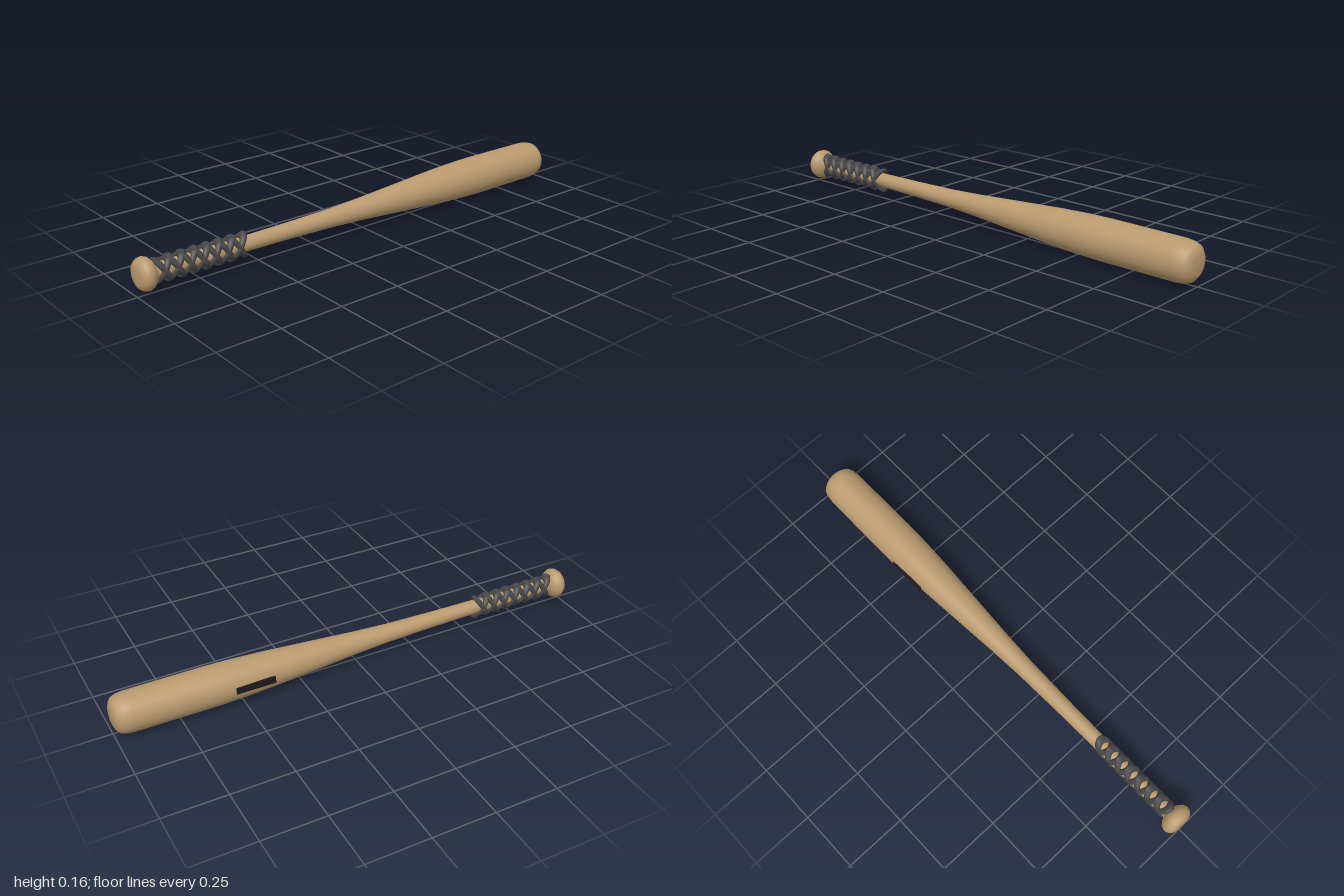
import * as THREE from 'three';

const AXIS_Y = 0.08; // height of the bat's long axis

const mat = (name, color) => {
  const m = new THREE.MeshStandardMaterial({ color });
  m.name = name;
  return m;
};

export function createModel() {
  const wood = mat('wood', 0xb89a6e);
  const tape = mat('gripTape', 0x48484a);
  const black = mat('blackPlate', 0x1c1c1c);

  const bat = new THREE.Group();
  bat.name = 'bat';
  const add = (name, geometry, material, parent = bat) => {
    const mesh = new THREE.Mesh(geometry, material);
    mesh.name = name;
    parent.add(mesh);
    return mesh;
  };

  // Turned part along x, from [x, radius] pairs
  const turned = (profile) =>
    new THREE.LatheGeometry(profile.map(([x, r]) => new THREE.Vector2(r, x)), 40)
      .rotateZ(-Math.PI / 2)
      .translate(0, AXIS_Y, 0);

  // Knob at the end of the handle
  add('knob', turned([
    [-1, 0], [-1, 0.032], [-0.993, 0.05], [-0.98, 0.06], [-0.965, 0.063],
    [-0.95, 0.057], [-0.938, 0.044], [-0.93, 0.028],
  ]), wood);

  // Handle swelling into the barrel
  add('handleAndBarrel', turned([
    [-0.94, 0.028], [-0.57, 0.029], [-0.35, 0.032], [-0.15, 0.037], [0, 0.045],
    [0.2, 0.059], [0.4, 0.0725], [0.52, 0.078], [0.62, 0.08], [0.93, 0.079],
    [0.96, 0.076], [0.98, 0.069], [0.992, 0.055], [0.999, 0.035], [1, 0],
  ]), wood);

  // Crossed grip wraps: flattened rings leaning forward and back in pairs
  const grip = new THREE.Group();
  grip.name = 'grip';
  bat.add(grip);
  for (let i = 0; i < 7; i++) {
    for (const lean of [0.62, -0.62]) {
      const ring = new THREE.TorusGeometry(0.027, 0.0085, 8, 28)
        .rotateY(Math.PI / 2)
        .scale(1.6, 1.49, 1)
        .applyMatrix4(new THREE.Matrix4().set(
          1, lean, 0, -0.9 + i * 0.0515,
          0, 1, 0, AXIS_Y,
          0, 0, 1, 0,
          0, 0, 0, 1));
      add('gripWrap', ring, tape, grip);
    }
  }

  // Small plate on the back of the barrel
  add('barrelPlate', new THREE.BoxGeometry(0.16, 0.027, 0.0095), black)
    .position.set(0.46, AXIS_Y + 0.002, -0.0763);

  return bat;
}
